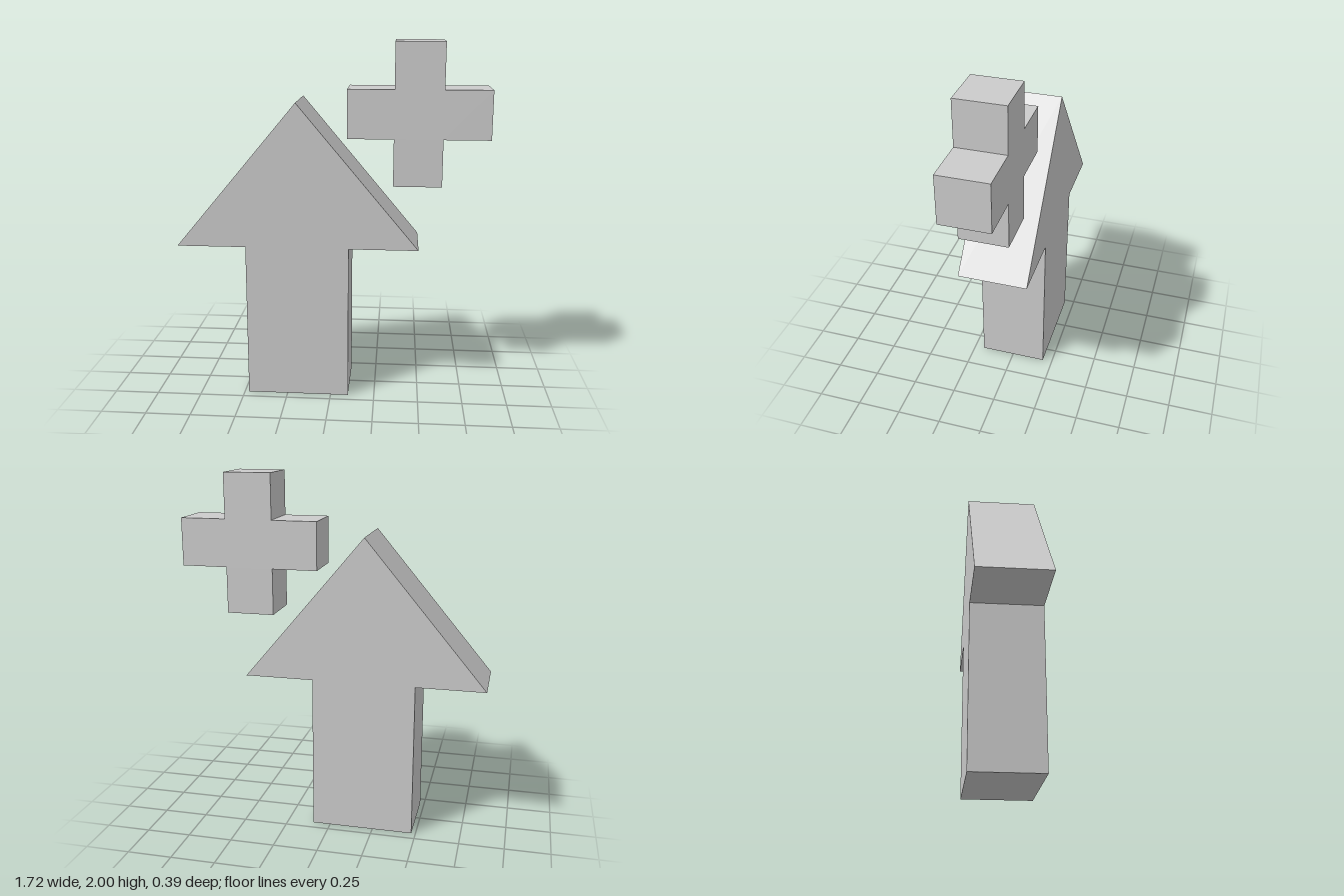
import * as THREE from 'three';

const material = new THREE.MeshStandardMaterial({ color: 0xcccccc, flatShading: true });

// Flat outline extruded evenly to both sides of z = 0
function slab(name, points, depth) {
  const shape = new THREE.Shape(points.map(([x, y]) => new THREE.Vector2(x, y)));
  const geometry = new THREE.ExtrudeGeometry(shape, { depth, bevelEnabled: false });
  geometry.translate(0, 0, -depth / 2);
  const mesh = new THREE.Mesh(geometry, material);
  mesh.name = name;
  return mesh;
}

export function createModel() {
  const group = new THREE.Group();
  group.name = 'arrowAndPlus';

  // Upward arrow: shaft and triangular head in one outline
  group.add(slab('arrow', [
    [-0.476, 0], [0.1, 0], [0.1, 0.877], [0.485, 0.877],
    [-0.188, 1.68], [-0.86, 0.877], [-0.476, 0.877],
  ], 0.386));

  // Plus sign floating beside the arrow tip
  const [x0, x1, x2, x3] = [0.085, 0.338, 0.604, 0.86];
  const [y0, y1, y2, y3] = [1.222, 1.481, 1.748, 2];
  group.add(slab('plus', [
    [x1, y0], [x2, y0], [x2, y1], [x3, y1], [x3, y2], [x2, y2],
    [x2, y3], [x1, y3], [x1, y2], [x0, y2], [x0, y1], [x1, y1],
  ], 0.268));

  return group;
}
